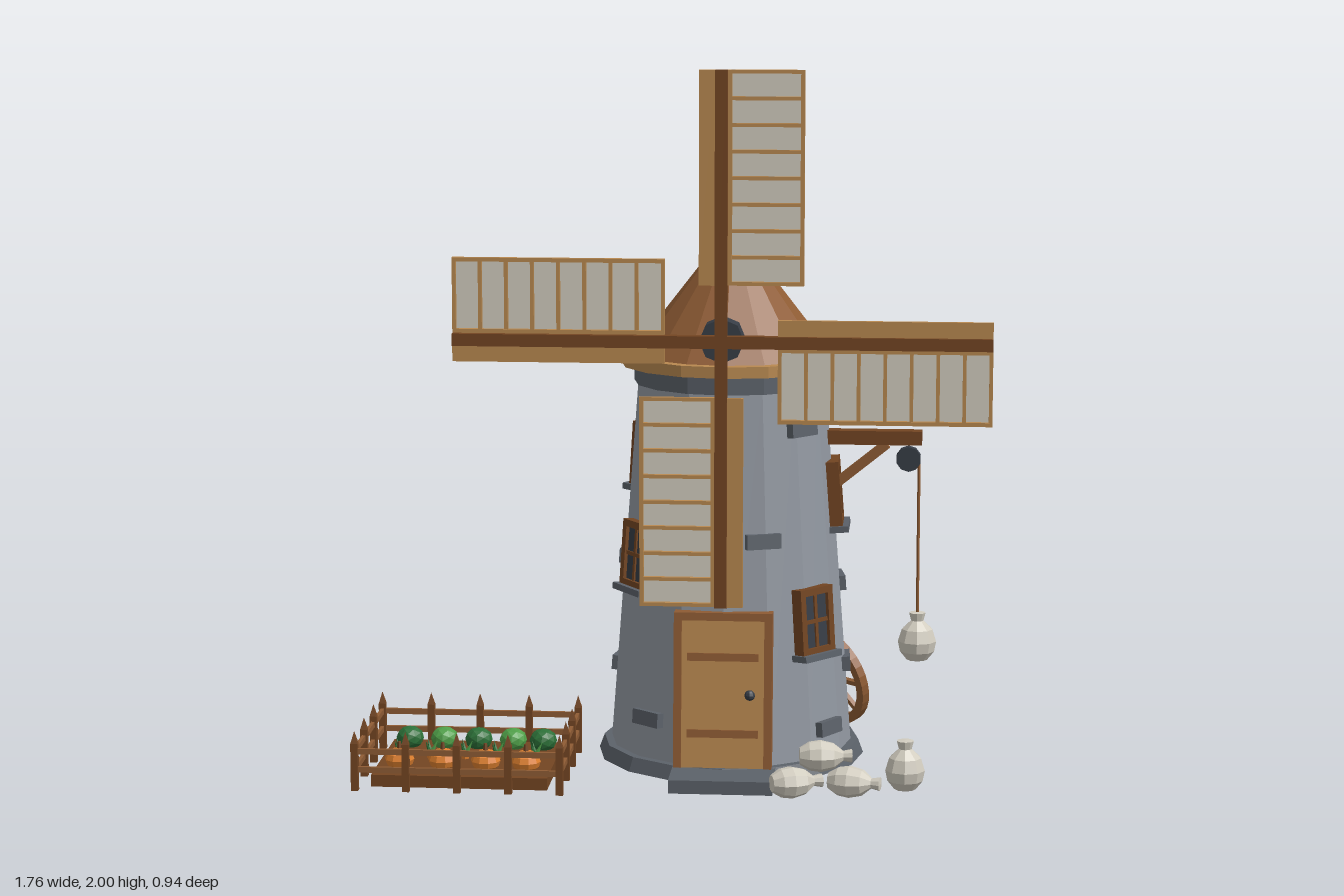
import * as THREE from 'three';

const mat = (name, color, opts = {}) => {
  const m = new THREE.MeshStandardMaterial({ color, flatShading: true, ...opts });
  m.name = name;
  return m;
};

export function createModel() {
  const M = {
    stone: mat('stone', 0x9298a1),
    darkStone: mat('dark stone', 0x5c626a),
    iron: mat('iron', 0x373d46),
    tan: mat('light wood', 0xb98950),
    roof: mat('roof wood', 0x8f5c34),
    wood: mat('dark wood', 0x734522),
    cloth: mat('cloth', 0xd2cdc0),
    green: mat('dark leaf', 0x2c7038),
    lightGreen: mat('light leaf', 0x4f9f48),
    orange: mat('orange', 0xe0812f),
  };
  const root = new THREE.Group();
  root.name = 'windmill';

  // ---- helpers ----
  const add = (parent, name, geo, material, x = 0, y = 0, z = 0) => {
    const mesh = new THREE.Mesh(geo, material);
    mesh.name = name;
    mesh.position.set(x, y, z);
    parent.add(mesh);
    return mesh;
  };
  const group = (parent, name, x = 0, y = 0, z = 0) => {
    const g = new THREE.Group();
    g.name = name;
    g.position.set(x, y, z);
    parent.add(g);
    return g;
  };
  const box = (parent, name, w, h, d, material, x, y, z) =>
    add(parent, name, new THREE.BoxGeometry(w, h, d), material, x, y, z);
  const cyl = (rt, rb, h, n) => new THREE.CylinderGeometry(rt, rb, h, n);
  const deg = THREE.MathUtils.degToRad;

  // ---- tower ----
  const tower = group(root, 'tower', 0.137, 0, -0.08);
  const R0 = 0.348, R1 = 0.268, Y0 = 0.04, Y1 = 1.1;
  const slope = (R0 - R1) / (Y1 - Y0);
  add(tower, 'base', cyl(0.37, 0.385, 0.04, 16), M.darkStone, 0, 0.02);
  add(tower, 'wall', cyl(R1, R0, Y1 - Y0, 16), M.stone, 0, (Y0 + Y1) / 2);
  add(tower, 'topBand', cyl(0.28, 0.28, 0.055, 16), M.darkStone, 0, 1.115);
  add(tower, 'eave', cyl(0.318, 0.318, 0.032, 16), M.tan, 0, 1.156);
  add(tower, 'roof', new THREE.ConeGeometry(0.287, 0.37, 16), M.roof, 0, 1.355);
  add(tower, 'finial', new THREE.SphereGeometry(0.036, 10, 8), M.tan, 0, 1.552);

  // Group lying on the sloped wall, facing outward at an angle from the front
  const onWall = (name, angle, y) => {
    const a = deg(angle), r = (R0 - slope * (y - Y0)) * 0.985;
    const g = group(tower, name, Math.sin(a) * r, y, Math.cos(a) * r);
    g.rotation.set(-Math.atan(slope), a, 0, 'YXZ');
    return g;
  };

  // Scattered raised stones: angle, height
  [[49, 0.98], [133, 0.85], [92, 0.27], [58, 0.12], [155, 0.55], [-40, 0.155], [21, 0.675],
    [-43, 0.975], [-100, 0.25], [-159, 0.7], [-99, 0.57], [-172, 0.14], [-132, 0.155],
    [174, 0.98], [99, 0.5], [-140, 0.97]].forEach(([a, y]) =>
    box(onWall('raisedStone', a, y), 'stoneBlock', 0.1, 0.042, 0.03, M.darkStone, 0, 0, 0.004));

  // Windows
  [[50, 0.435], [90, 0.77], [-55, 0.61], [-120, 0.855], [180, 0.455]].forEach(([a, y]) => {
    const w = onWall('window', a, y);
    box(w, 'glass', 0.1, 0.16, 0.03, M.iron, 0, 0, 0.002);
    for (const s of [-1, 1]) {
      box(w, 'frameSide', 0.02, 0.19, 0.045, M.wood, s * 0.056, 0, 0.005);
      box(w, 'frameRail', 0.1, 0.02, 0.045, M.wood, 0, s * 0.085, 0.005);
    }
    box(w, 'mullion', 0.011, 0.16, 0.036, M.wood, 0, 0, 0.004);
    box(w, 'crossBar', 0.1, 0.011, 0.036, M.wood, 0, 0, 0.004);
    box(w, 'sill', 0.15, 0.018, 0.06, M.darkStone, 0, -0.1, 0.014);
  });

  // Door and step
  const door = onWall('door', 0, 0.26);
  box(door, 'doorPanel', 0.235, 0.42, 0.05, M.tan, 0, -0.01, 0);
  for (const s of [-1, 1]) box(door, 'doorJamb', 0.022, 0.44, 0.065, M.roof, s * 0.127, 0, 0);
  box(door, 'doorLintel', 0.235, 0.022, 0.065, M.roof, 0, 0.209, 0);
  for (const y of [-0.122, 0.095]) box(door, 'doorStrap', 0.2, 0.022, 0.008, M.roof, 0, y, 0.028);
  add(door, 'doorKnob', new THREE.SphereGeometry(0.015, 8, 6), M.iron, 0.077, -0.01, 0.038);
  box(root, 'doorStep', 0.29, 0.038, 0.17, M.darkStone, 0.14, 0.019, 0.325);

  // ---- sails ----
  const rotor = group(root, 'rotor', 0.137, 1.26, 0);
  add(rotor, 'axle', cyl(0.031, 0.031, 0.22, 8), M.iron, 0, 0, 0.18).rotation.x = Math.PI / 2;
  add(rotor, 'hub', cyl(0.062, 0.062, 0.068, 8), M.iron, 0, 0, 0.309).rotation.x = Math.PI / 2;
  for (let i = 0; i < 4; i++) {
    const s = group(rotor, 'sail', 0, 0, 0.36);
    s.rotation.z = i * Math.PI / 2;
    box(s, 'arm', 0.034, 0.74, 0.03, M.wood, 0, 0.37, 0);
    box(s, 'leadingBoard', 0.044, 0.585, 0.014, M.tan, -0.039, 0.4475, -0.004);
    box(s, 'sailCloth', 0.204, 0.577, 0.008, M.cloth, 0.122, 0.4475, -0.022);
    for (const x of [0.023, 0.22]) box(s, 'sailEdge', 0.011, 0.585, 0.016, M.tan, x, 0.4475, -0.01);
    for (let k = 0; k <= 8; k++)
      box(s, 'sailBar', 0.19, 0.01, 0.014, M.tan, 0.122, 0.16 + k * 0.0719, -0.01);
  }

  // ---- sacks ----
  const sackProfile = [[0, 0], [0.03, 0], [0.05, 0.025], [0.056, 0.055], [0.045, 0.09],
    [0.018, 0.115], [0.024, 0.138], [0, 0.14]].map(p => new THREE.Vector2(...p));
  const sackGeo = new THREE.LatheGeometry(sackProfile, 9);
  const sack = (parent, x, y, z) => add(parent, 'sack', sackGeo, M.cloth, x, y, z);
  sack(root, 0.65, 0, 0.305);
  // Lying sacks: centre and turn
  [[0.35, 0.04, 0.405, 0.35], [0.51, 0.045, 0.41, -0.2], [0.43, 0.115, 0.4, 0.1]].forEach(([x, y, z, turn]) => {
    const g = group(root, 'lyingSack', x, y, z);
    g.rotation.y = turn;
    const m = sack(g, -0.07, 0, 0);
    m.rotation.z = -Math.PI / 2;
    m.scale.set(0.8, 1.05, 0.9);
  });

  // ---- hoist ----
  const hoist = group(root, 'hoist', 0, 0, -0.08);
  box(hoist, 'hoistBeam', 0.3, 0.04, 0.044, M.wood, 0.533, 0.93, 0);
  box(hoist, 'hoistBrace', 0.2, 0.026, 0.028, M.roof, 0.505, 0.848, 0).rotation.z = 0.68;
  add(hoist, 'pulley', cyl(0.036, 0.036, 0.03, 10), M.iron, 0.645, 0.868).rotation.x = Math.PI / 2;
  add(hoist, 'rope', cyl(0.005, 0.005, 0.47, 6), M.roof, 0.675, 0.64);
  sack(hoist, 0.675, 0.28, 0);

  // ---- cart wheel leaning on the wall ----
  const wheel = group(root, 'cartWheel', 0.415, 0.157, -0.355);
  wheel.rotation.set(-0.27, deg(135), 0, 'YXZ');
  const rim = new THREE.Shape().absarc(0, 0, 0.15, 0, Math.PI * 2);
  rim.holes.push(new THREE.Path().absarc(0, 0, 0.123, 0, Math.PI * 2, true));
  add(wheel, 'wheelRim', new THREE.ExtrudeGeometry(rim, { depth: 0.026, bevelEnabled: false, curveSegments: 16 }),
    M.roof, 0, 0, -0.013);
  for (let i = 0; i < 4; i++)
    box(wheel, 'wheelSpoke', 0.25, 0.014, 0.014, M.roof, 0, 0, 0).rotation.z = i * Math.PI / 4;
  add(wheel, 'wheelHub', cyl(0.027, 0.027, 0.045, 8), M.iron).rotation.x = Math.PI / 2;

  // ---- vegetable bed ----
  const bed = group(root, 'vegetableBed', -0.59, 0, 0.22);
  box(bed, 'soil', 0.495, 0.034, 0.39, M.wood, 0, 0.019, 0);
  const W = 0.287, D = 0.228;
  const post = (x, z) => {
    box(bed, 'fencePost', 0.02, 0.135, 0.02, M.wood, x, 0.0675, z);
    add(bed, 'postTip', new THREE.ConeGeometry(0.0141, 0.035, 4), M.wood, x, 0.152, z).rotation.y = Math.PI / 4;
  };
  for (const s of [-1, 1]) {
    for (let i = 0; i < 5; i++) post(-W + i * W / 2, s * D);
    for (let i = 1; i < 3; i++) post(s * W, -D + i * D * 2 / 3);
    for (const y of [0.06, 0.112]) {
      box(bed, 'longRail', W * 2, 0.016, 0.01, M.roof, 0, y, s * D);
      box(bed, 'shortRail', 0.01, 0.016, D * 2, M.roof, s * W, y, 0);
    }
  }
  // Cabbages
  [-0.19, -0.09, 0.01, 0.11, 0.197].forEach((x, i) => {
    const c = add(bed, 'cabbage', new THREE.IcosahedronGeometry(0.04, 1), i % 2 ? M.lightGreen : M.green, x, 0.06, -0.13);
    c.scale.y = 0.85;
  });
  // Carrots
  [-0.2, -0.11, -0.01, 0.08, 0.19].forEach(x => {
    add(bed, 'carrot', cyl(0.013, 0.01, 0.02, 6), M.orange, x, 0.04, 0);
    for (let k = 0; k < 3; k++) {
      const a = k * Math.PI * 2 / 3;
      const leaf = add(bed, 'carrotLeaf', new THREE.ConeGeometry(0.009, 0.05, 4), k ? M.green : M.lightGreen,
        x + Math.cos(a) * 0.01, 0.066, Math.sin(a) * 0.01);
      leaf.rotation.set(Math.sin(a) * 0.45, 0, -Math.cos(a) * 0.45);
    }
  });
  // Pumpkins
  [-0.178, -0.055, 0.066, 0.18].forEach(x => {
    const p = add(bed, 'pumpkin', new THREE.SphereGeometry(0.042, 10, 6), M.orange, x, 0.066, 0.125);
    p.scale.y = 0.75;
    add(bed, 'pumpkinStem', cyl(0.005, 0.008, 0.022, 5), M.wood, x, 0.104, 0.125);
  });

  return root;
}
